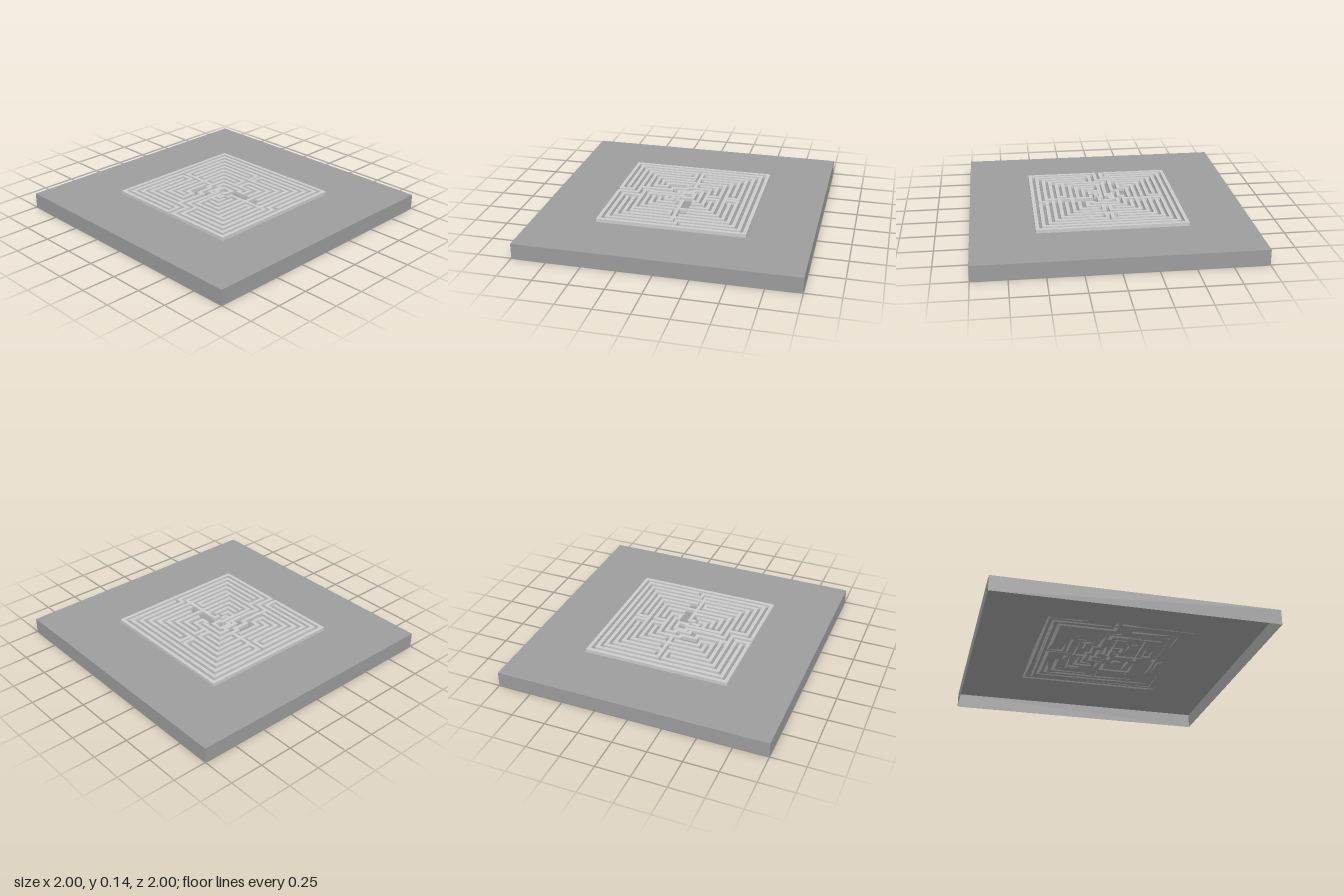
import * as THREE from 'three';
import { mergeGeometries } from 'three/addons/utils/BufferGeometryUtils.js';

const PITCH = 0.048;      // distance between neighbouring hedge lines
const THICK = 0.026;      // hedge thickness
const BASE_H = 0.112;
const WALL_H = 0.026;

// Straight hedge boxes along a path of [column, row] points on the maze grid
function hedge(path) {
  const boxes = [];
  for (let i = 1; i < path.length; i++) {
    const [x0, z0] = path[i - 1], [x1, z1] = path[i];
    const box = new THREE.BoxGeometry(
      Math.abs(x1 - x0) * PITCH + THICK, WALL_H, Math.abs(z1 - z0) * PITCH + THICK);
    box.translate((x0 + x1) / 2 * PITCH, BASE_H + WALL_H / 2, (z0 + z1) / 2 * PITCH);
    boxes.push(box);
  }
  return mergeGeometries(boxes);
}

const mirror = path => path.map(([x, z]) => [-x, z]);

export function createModel() {
  const group = new THREE.Group();
  const hedgeMat = new THREE.MeshStandardMaterial({ color: 0xcccccc });
  const baseMat = new THREE.MeshStandardMaterial({ color: 0x9c9c9c, side: THREE.DoubleSide });

  // Hollow slab, open underneath
  const slab = new THREE.BoxGeometry(2, BASE_H, 2);
  const index = Array.from(slab.index.array);
  index.splice(18, 6);
  slab.setIndex(index);
  slab.clearGroups();
  slab.translate(0, BASE_H / 2, 0);
  const base = new THREE.Mesh(slab, baseMat);
  base.name = 'base';
  group.add(base);

  const add = (name, paths) => {
    const mesh = new THREE.Mesh(mergeGeometries(paths.map(hedge)), hedgeMat);
    mesh.name = name;
    group.add(mesh);
  };

  // Boundary with the entrance corridor, then the two rings inside it
  add('outerHedges', [
    [[-9, 0.4], [-9, 9], [-0.6, 9], [-0.6, 11], [-11, 11], [-11, -11],
      [11, -11], [11, 11], [0.4, 11], [0.4, 8], [-8, 8], [-8, 1.4]],
    [[-1.5, 10], [-10, 10], [-10, -10], [10, -10], [10, -1.5]],
    [[-3, -0.5], [-9, -0.5], [-9, -9], [9, -9], [9, -0.5], [10, -0.5],
      [10, 10], [1.4, 10], [1.4, 7]],
  ]);

  // Rear half: nested hedges that pair up on both sides
  const rear = [
    [[-8, -1.5], [-8, -8], [-0.4, -8], [-0.4, -6]],
    [[-7, -0.5], [-7, -7], [-1.5, -7]],
    [[-5, -0.5], [-5, -5], [-0.5, -5], [-0.5, -3]],
    [[-4, -1.5], [-4, -4], [-1.5, -4]],
  ];
  add('rearLeftHedges', rear.map(mirror));
  add('rearRightHedges', rear);
  add('rearCrossHedges', [
    [[-6, -1.5], [-6, -6], [6, -6], [6, -1.5]],
    [[-3, -0.5], [-3, -3], [2.8, -3], [2.8, -1.5], [1.8, -1.5]],
    [[-2, -0.6], [-2, -2], [1.8, -2], [1.8, -1.5]],
    [[8, -1.5], [8, 0.3]],
    [[5, -0.5], [5, 0.3]],
  ]);

  // Centre enclosure and the passage leading to it
  add('centreHedges', [
    [[-0.4, 6], [-0.4, 0.8], [-0.9, 0.8], [-0.9, -1], [0.8, -1], [0.8, 0.4], [0.4, 0.4], [0.4, 6]],
    [[-2, -0.6], [-1.4, -0.6], [-1.4, 1.6], [-0.4, 1.6]],
  ]);

  // Front half, model's left
  add('frontLeftHedges', [
    [[2, 1], [2, 0.3], [9, 0.3], [9, 9], [2.4, 9]],
    [[8, 0.3], [8, 8], [2.4, 8]],
    [[6, 7], [6, 1.2], [7, 1.2], [7, 7], [-0.6, 7]],
    [[5, 0.3], [5, 6], [0.4, 6]],
    [[4, 0.3], [4, 5], [1.4, 5]],
    [[3, 1.4], [3, 4], [1.4, 4]],
    [[0.4, 3], [2, 3], [2, 2]],
    [[0.4, 2], [1.2, 2], [1.2, 1.2]],
  ]);

  // Front half, model's right
  add('frontRightHedges', [
    [[-9, 0.4], [-7, 0.4], [-7, 7], [-1.6, 7]],
    [[-1.6, 8], [-1.6, 3], [-2.4, 3], [-2.4, 0.6]],
    [[-6, 0.4], [-6, 6], [-2.8, 6], [-2.8, 4]],
    [[-5, -0.5], [-5, 5], [-3.6, 5]],
    [[-4, 0.4], [-4, 4], [-2.8, 4]],
    [[-3, -0.5], [-3, 0.6], [-2.4, 0.6]],
    [[-0.6, 7], [-0.6, 6]],
  ]);

  return group;
}
